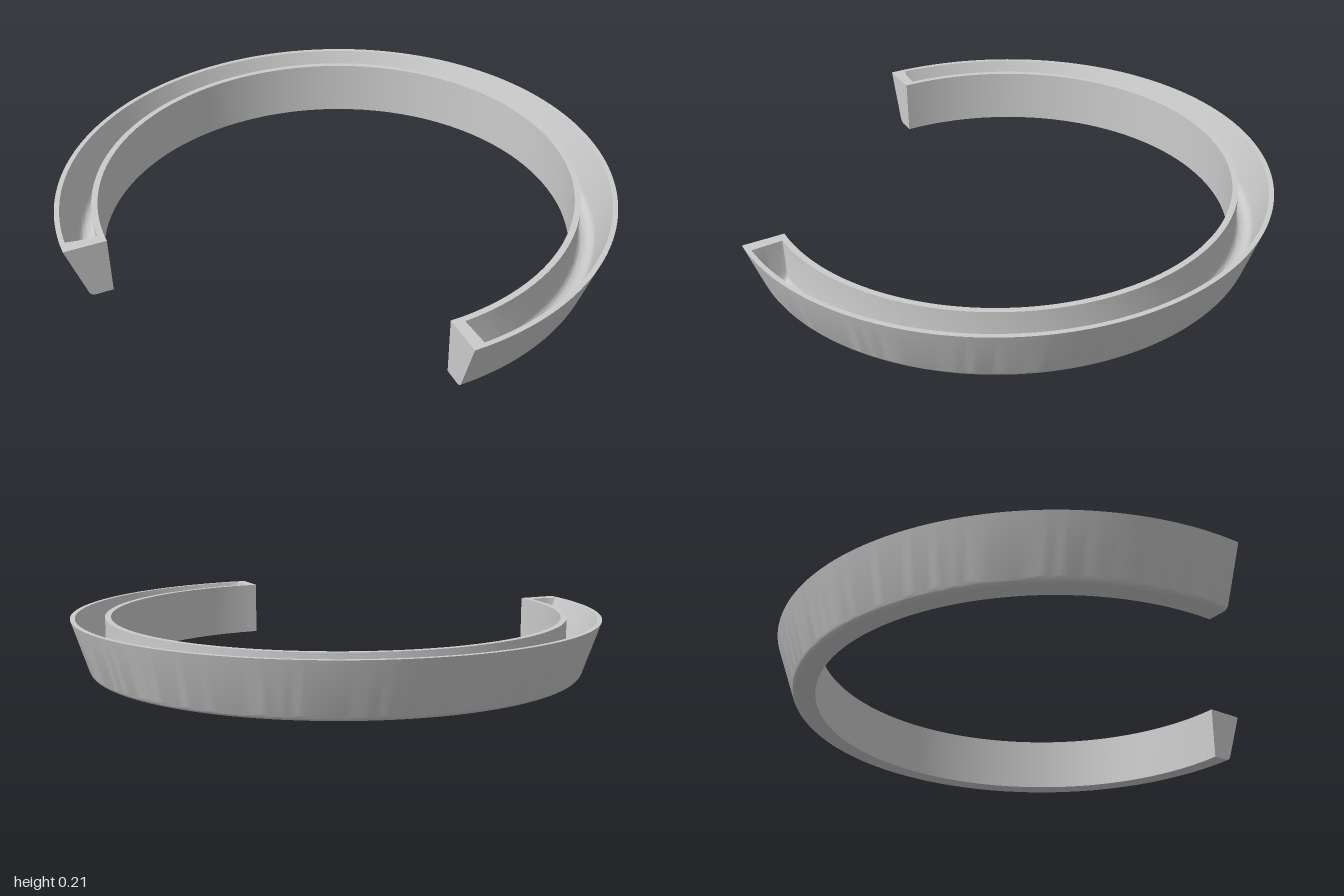
import * as THREE from 'three';
import { toCreasedNormals } from 'three/addons/utils/BufferGeometryUtils.js';

const TOP = 0.21, CENTRE_Z = 0.14;
const START = THREE.MathUtils.degToRad(45.2); // left end, measured from +z
const END = THREE.MathUtils.degToRad(360 - 44.4); // right end
const SEGMENTS = 144;

// Cross-section in (radius, height), counter-clockwise
function crossSection() {
  // Rim, straight inner wall, underside, rounded corner and flared outer wall
  const body = new THREE.Path();
  body.moveTo(0.85, TOP);
  body.lineTo(0.85, 0);
  body.lineTo(0.91, 0);
  body.quadraticCurveTo(0.93, 0, 0.936, 0.02);
  body.lineTo(1, TOP);
  // Channel with a rounded floor
  const groove = new THREE.Path();
  groove.moveTo(0.982, TOP);
  groove.lineTo(0.938, 0.075);
  groove.quadraticCurveTo(0.93, 0.045, 0.905, 0.045);
  groove.quadraticCurveTo(0.872, 0.045, 0.872, 0.08);
  groove.lineTo(0.872, TOP);
  return { body: body.getPoints(8), groove: groove.getPoints(8) };
}

// Angles along the arc with the channel depth at each; the channel closes near both ends
function stations() {
  const ends = [[0, 0], [0.045, 0], [0.052, 0.75], [0.056, 0.88], [0.063, 0.96], [0.075, 1]];
  const list = ends.map(([a, d]) => [START + a, d]);
  for (let i = 1; i < SEGMENTS; i++) {
    list.push([THREE.MathUtils.lerp(START + 0.075, END - 0.075, i / SEGMENTS), 1]);
  }
  return list.concat(ends.reverse().map(([a, d]) => [END - a, d]));
}

function troughGeometry() {
  const { body, groove } = crossSection();
  const rings = stations().map(([angle, depth]) => {
    const place = (r, y) => [r * Math.sin(angle), y, CENTRE_Z + r * Math.cos(angle)];
    return [
      ...body.map((p) => place(p.x, p.y)),
      ...groove.map((p) => place(p.x, TOP - (TOP - p.y) * depth)),
    ];
  });
  const positions = [];
  const tri = (a, b, c) => positions.push(...a, ...b, ...c);

  // Swept skin
  const n = rings[0].length;
  for (let i = 0; i < rings.length - 1; i++) {
    for (let j = 0; j < n; j++) {
      const k = (j + 1) % n;
      const a = rings[i][j], b = rings[i][k], c = rings[i + 1][k], d = rings[i + 1][j];
      tri(a, d, c);
      tri(a, c, b);
    }
  }

  // Flat end faces
  const first = rings[0], last = rings[rings.length - 1];
  for (const [a, b, c] of THREE.ShapeUtils.triangulateShape(body, [])) {
    tri(first[a], first[b], first[c]);
    tri(last[a], last[c], last[b]);
  }

  const geometry = new THREE.BufferGeometry();
  geometry.setAttribute('position', new THREE.Float32BufferAttribute(positions, 3));
  return toCreasedNormals(geometry, 0.6);
}

export function createModel() {
  const group = new THREE.Group();
  group.name = 'openRingTrough';
  const trough = new THREE.Mesh(
    troughGeometry(),
    new THREE.MeshStandardMaterial({ color: 0xcccccc })
  );
  trough.name = 'trough';
  group.add(trough);
  return group;
}
